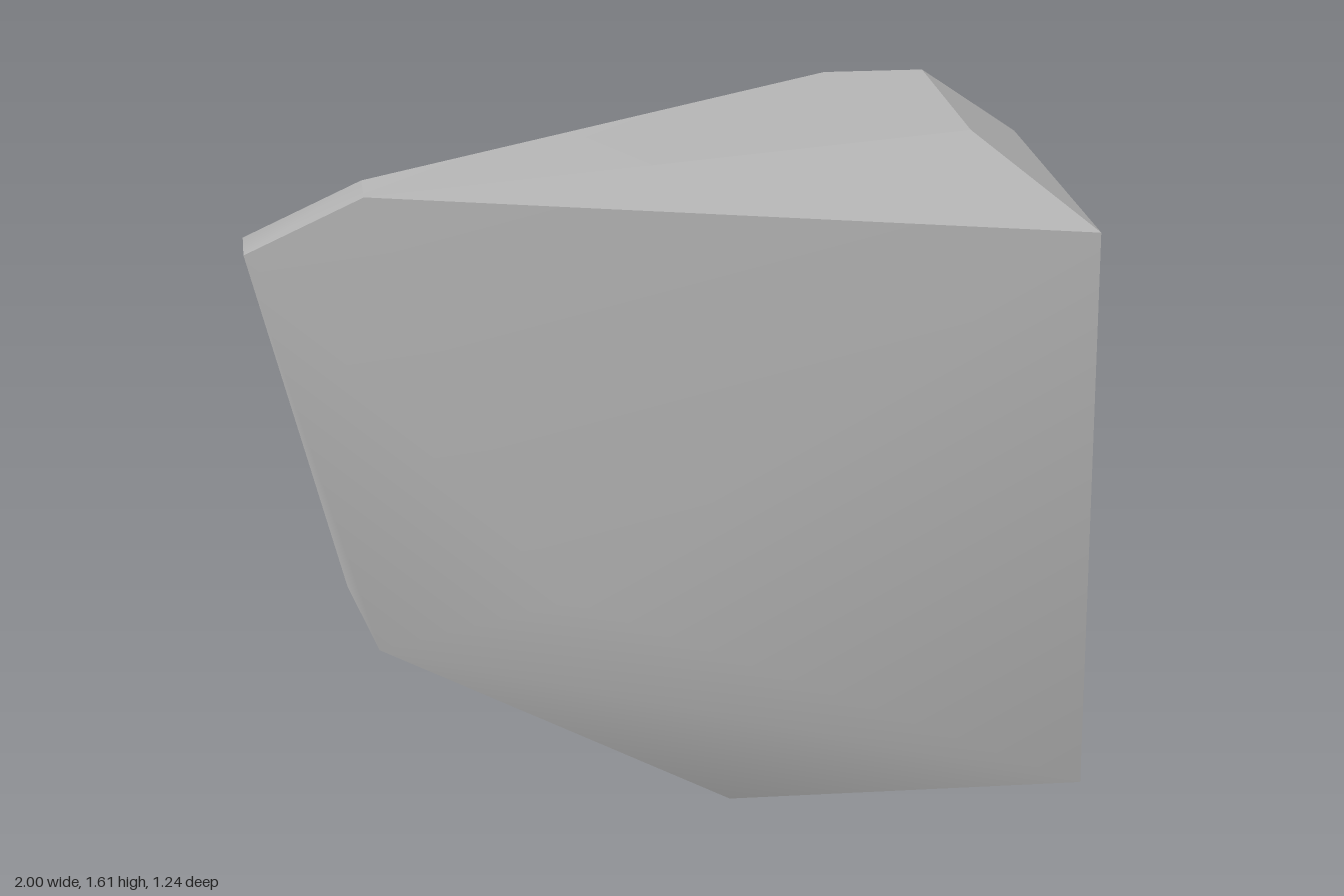
import * as THREE from 'three';
import { ConvexGeometry } from 'three/addons/geometries/ConvexGeometry.js';
import { toCreasedNormals } from 'three/addons/utils/BufferGeometryUtils.js';

// A faceted boulder: the convex hull of its corner points.
export function createModel() {
  const stone = new THREE.MeshStandardMaterial({ color: 0xb4b4b4 });
  stone.name = 'stone grey';

  const corners = [
    // flat base
    [1, 0, 0.385], [1, 0, -0.62], [0.13, 0, -0.62], [0.13, 0, 0.385],
    // upper edge of the flat end and back
    [1, 1.4, 0.385], [1, 1.4, -0.62], [0.47, 1.4, -0.62],
    // top facet
    [0.72, 1.61, 0.2], [0.72, 1.61, -0.44], [0.47, 1.61, -0.44],
    [-0.73, 1.6, 0.47], [-0.73, 1.6, 0.62],
    // pointed upper end
    [-1, 1.475, 0.47], [-1, 1.475, 0.62],
    // undercut end
    [-0.79, 0.68, 0.62], [-0.79, 0.68, -0.36], [-0.79, 0.6, -0.36],
    [-0.72, 0.52, 0.62], [-0.72, 0.52, -0.36],
    // soft bulge on the front
    [-0.28, 0.62, 0.62],
  ].map((p) => new THREE.Vector3(...p));

  // Shallow facets blend smoothly, the rest stay sharp
  const geometry = toCreasedNormals(new ConvexGeometry(corners), THREE.MathUtils.degToRad(34));
  const boulder = new THREE.Mesh(geometry, stone);
  boulder.name = 'boulder';

  const group = new THREE.Group();
  group.name = 'rock';
  group.add(boulder);
  return group;
}
